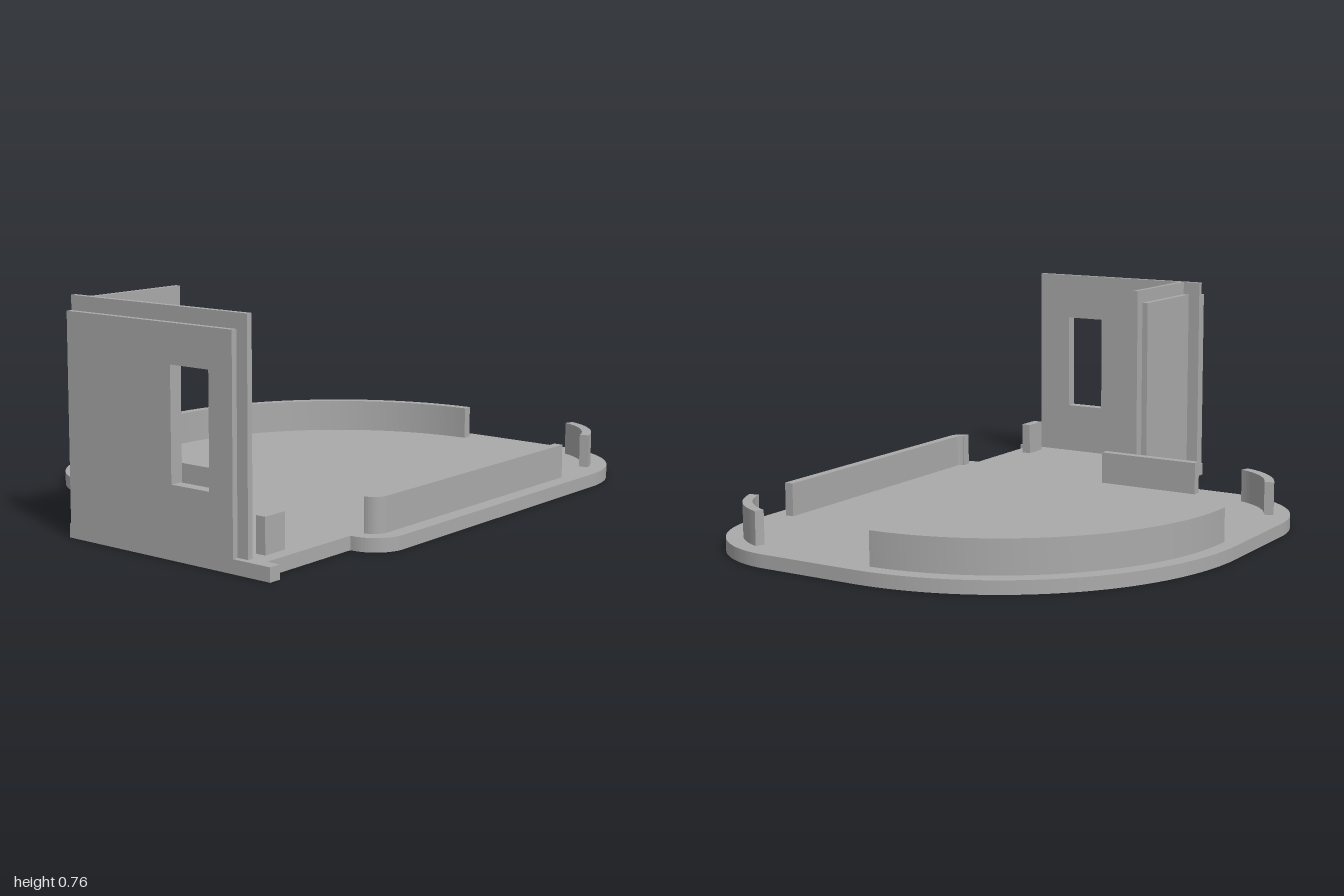
import * as THREE from 'three';
import { toCreasedNormals } from 'three/addons/utils/BufferGeometryUtils.js';

const FLOOR = 0.045; // top of the base plate
const RIM = 0.16; // top of the locating ribs
const rad = THREE.MathUtils.degToRad;

export function createModel() {
  const group = new THREE.Group();
  const grey = new THREE.MeshStandardMaterial({ color: 0xaaaaaa });
  grey.name = 'plain grey';

  function add(name, geometry) {
    const mesh = new THREE.Mesh(geometry, grey);
    mesh.name = name;
    group.add(mesh);
    return mesh;
  }

  // box from its minimum and maximum corners
  function box(name, x0, x1, y0, y1, z0, z1) {
    add(name, new THREE.BoxGeometry(x1 - x0, y1 - y0, z1 - z0))
      .position.set((x0 + x1) / 2, (y0 + y1) / 2, (z0 + z1) / 2);
  }

  // upright extrusion of a plan shape drawn in (x, -z)
  function slab(name, shape, y0, y1) {
    const g = new THREE.ExtrudeGeometry(shape, { depth: y1 - y0, bevelEnabled: false, curveSegments: 32 });
    g.rotateX(-Math.PI / 2).translate(0, y0, 0);
    add(name, toCreasedNormals(g, 0.5));
  }

  // curved rib; angles in degrees, counter-clockwise seen from above
  function curvedRib(name, x, z, outer, inner, from, to) {
    const s = new THREE.Shape();
    s.absarc(x, -z, outer, rad(from), rad(to), false);
    s.absarc(x, -z, inner, rad(to), rad(from), true);
    s.closePath();
    slab(name, s, FLOOR, RIM);
  }

  // base plate with four different corner radii and a side platform
  const plate = new THREE.Shape();
  plate.moveTo(-0.46, -0.78);
  plate.absarc(0.66, -0.44, 0.34, -Math.PI / 2, 0, false);
  plate.absarc(0.12, -0.095, 0.88, 0, Math.PI / 2, false);
  plate.absarc(-0.23, 0.445, 0.34, Math.PI / 2, Math.PI, false);
  plate.lineTo(-0.57, 0.057);
  plate.lineTo(-0.958, 0.057);
  plate.lineTo(-0.958, 0.105);
  plate.lineTo(-1, 0.105);
  plate.lineTo(-1, -0.71);
  plate.lineTo(-0.958, -0.71);
  plate.lineTo(-0.958, -0.663);
  plate.lineTo(-0.57, -0.663);
  plate.absarc(-0.46, -0.67, 0.11, Math.PI, Math.PI * 1.5, false);
  slab('basePlate', plate, 0, FLOOR);

  // locating ribs around the plate
  curvedRib('largeCornerRib', 0.12, 0.095, 0.825, 0.79, 2, 91.5);
  curvedRib('backCornerRib', -0.23, -0.445, 0.283, 0.25, 111, 162);
  curvedRib('frontCornerRib', 0.66, 0.44, 0.283, 0.25, -73, -19);
  curvedRib('frontRibHook', -0.47, 0.675, 0.05, 0.018, 180, 270);
  box('frontRib', -0.47, 0.54, FLOOR, RIM, 0.693, 0.725);
  box('sideRib', -0.515, -0.483, FLOOR, RIM, -0.33, 0.055);

  // stop tab on the platform
  box('stopTab', -0.91, -0.82, FLOOR, RIM, 0.58, 0.615);

  // windowed side wall: a tall inner layer and a shorter outer layer
  function windowWall(name, x0, x1, top, zEnd) {
    const s = new THREE.Shape();
    s.moveTo(-0.1, FLOOR);
    s.lineTo(zEnd, FLOOR);
    s.lineTo(zEnd, top);
    s.lineTo(-0.1, top);
    s.closePath();
    const hole = new THREE.Path();
    hole.moveTo(0.33, 0.23);
    hole.lineTo(0.33, 0.587);
    hole.lineTo(0.48, 0.587);
    hole.lineTo(0.48, 0.23);
    hole.closePath();
    s.holes.push(hole);
    const g = new THREE.ExtrudeGeometry(s, { depth: x1 - x0, bevelEnabled: false });
    g.rotateY(-Math.PI / 2).translate(x1, 0, 0);
    add(name, g);
  }
  windowWall('sideWallInner', -0.98, -0.96, 0.757, 0.61);
  windowWall('sideWallOuter', -1, -0.98, 0.71, 0.57);

  // back wall in the same two layers
  box('backWallInner', -0.96, -0.587, FLOOR, 0.757, -0.033, -0.015);
  box('backWallOuter', -0.96, -0.625, FLOOR, 0.71, -0.055, -0.033);

  return group;
}
